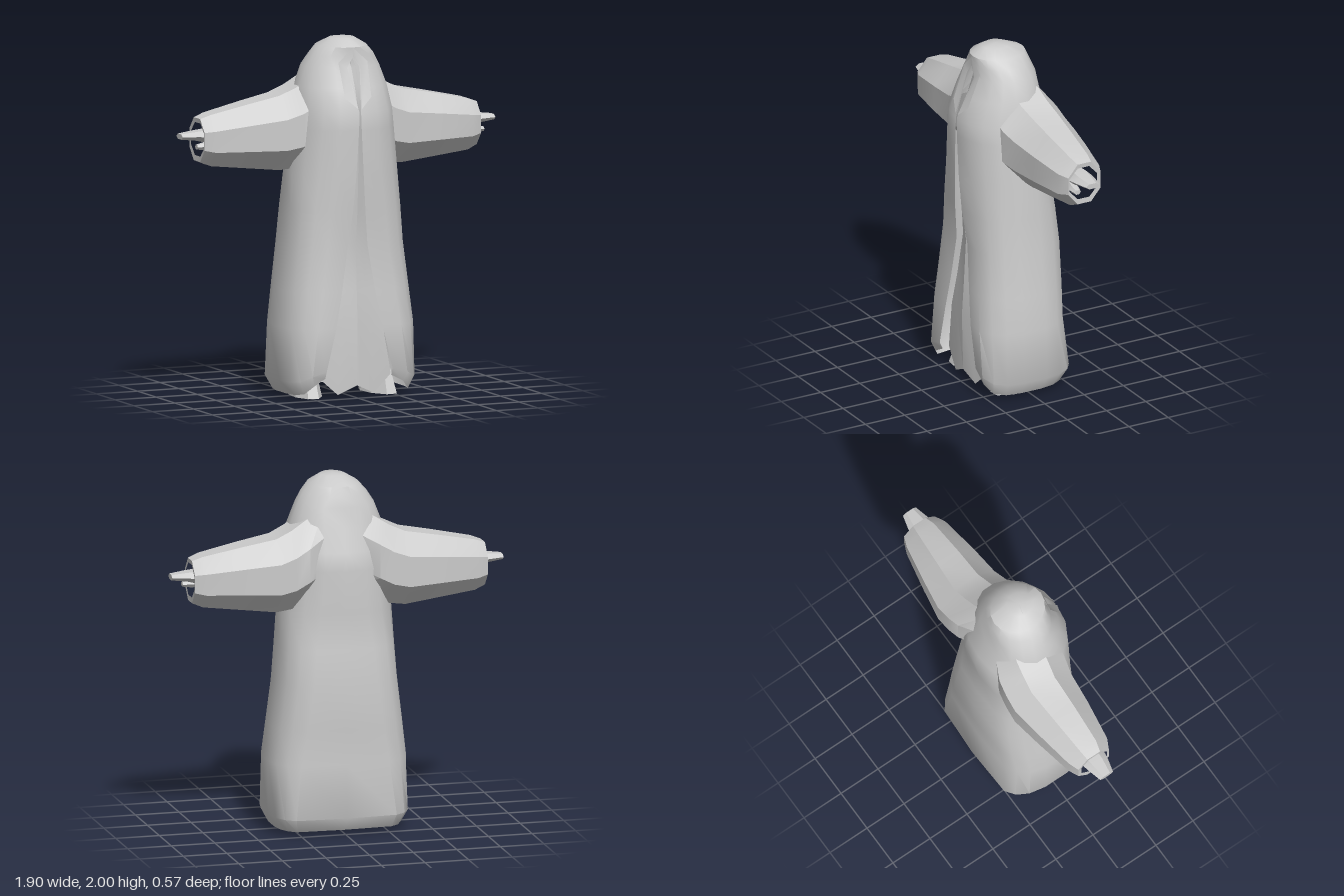
import * as THREE from 'three';
import { toCreasedNormals } from 'three/addons/utils/BufferGeometryUtils.js';

const material = new THREE.MeshStandardMaterial({ color: 0xcccccc });
const thin = new THREE.MeshStandardMaterial({ color: 0xcccccc, side: THREE.DoubleSide });

// Skin a surface over rows of [x, y, z] points
function loft(rows, crease = 0.6) {
  const n = rows[0].length, index = [];
  for (let i = 0; i < rows.length - 1; i++) {
    for (let j = 0; j < n - 1; j++) {
      const a = i * n + j, b = a + 1, d = a + n, c = d + 1;
      index.push(a, d, c, a, c, b);
    }
  }
  const geo = new THREE.BufferGeometry();
  geo.setAttribute('position', new THREE.Float32BufferAttribute(rows.flat(2), 3));
  geo.setIndex(index);
  geo.computeVertexNormals();
  return toCreasedNormals(geo, crease);
}

const mirrorRows = rows => rows.map(r => r.map(([x, y, z]) => [-x, y, z]).reverse());

// Tube along x through sections [x, top, bottom, back, front]
function limbRows(sections, sides) {
  return sections.map(([x, top, bottom, back, front]) => {
    const ring = [];
    for (let j = 0; j <= sides; j++) {
      const t = ((j % sides) + 0.5) / sides * Math.PI * 2;
      const k = 1 / Math.cos(Math.PI / sides);
      ring.push([x, (top + bottom) / 2 + (top - bottom) / 2 * k * Math.cos(t),
        (front + back) / 2 - (front - back) / 2 * k * Math.sin(t)]);
    }
    return ring;
  });
}

// Robe rows: y, half width, front z, back z, half gap, hem lift at the gap
const ROBE = [
  [2.0, 0, 0.04, 0.04, 0, 0],
  [1.992, 0.07, 0.11, -0.04, 0, 0],
  [1.95, 0.14, 0.175, -0.14, 0, 0],
  [1.9, 0.185, 0.175, -0.16, 0, 0],
  [1.84, 0.222, 0.18, -0.175, 0.04, 0],
  [1.73, 0.265, 0.23, -0.2, 0.022, 0],
  [1.6, 0.285, 0.278, -0.25, 0.005, 0],
  [1.5, 0.295, 0.28, -0.27, 0.008, 0],
  [1.25, 0.32, 0.275, -0.24, 0.022, 0],
  [1.05, 0.33, 0.265, -0.26, 0.037, 0],
  [0.85, 0.345, 0.262, -0.28, 0.06, 0],
  [0.6, 0.375, 0.275, -0.275, 0.1, 0],
  [0.4, 0.398, 0.288, -0.265, 0.14, 0],
  [0.1, 0.4, 0.29, -0.288, 0.2, 0.06],
  [0.025, 0.36, 0.27, -0.24, 0.2, 0.095],
];

function robeRows() {
  const half = 9;
  return ROBE.map(([y, w, zf, zb, gap, lift]) => {
    const p = y > 1.7 ? 1 : y > 1.2 ? 0.9 : 0.78;
    const side = [];
    for (let j = 0; j <= half; j++) {
      const t = j / half * Math.PI, c = Math.cos(t);
      const s = j === half ? 0 : Math.pow(Math.sin(t), p);
      const base = y > 1.85 ? 0.02 : 0;
      let z = base + (c > 0 ? zf - base : base - zb) * Math.sign(c) * Math.pow(Math.abs(c), p);
      if (j === 0 && y < 0.9) z -= 0.02;
      const x = (j === half ? 0 : gap) + (w - (j === half ? 0 : gap)) * s;
      side.push([x, y + lift * Math.pow(Math.max(0, c), 8), z]);
    }
    return [...side, ...side.slice(0, -1).reverse().map(([x, a, z]) => [-x, a, z])];
  });
}

// Ridged panel seen through the gap of the robe
function gownRows() {
  const rows = ROBE.slice(3, -1).map(([y, , zf, , gap]) => {
    const e = gap + 0.025, z = zf - 0.035 - (y < 0.9 ? 0.02 : 0);
    return [[-e, y, z - 0.02], [-e / 2, y, z - 0.005], [0, y, z + 0.01], [e / 2, y, z - 0.005], [e, y, z - 0.02]];
  });
  rows[rows.length - 1] = [[-0.22, 0.12, 0.2], [-0.11, 0.02, 0.22], [0, 0.07, 0.235], [0.11, 0.02, 0.22], [0.22, 0.12, 0.2]];
  return rows;
}

export function createModel() {
  const group = new THREE.Group();
  const add = (name, geo, mat = material) => {
    const mesh = new THREE.Mesh(geo, mat);
    mesh.name = name;
    group.add(mesh);
    return mesh;
  };
  const addPair = (name, rows, mat) => {
    add('left' + name, loft(rows), mat);
    add('right' + name, loft(mirrorRows(rows)), mat);
  };

  add('hoodedRobe', loft(robeRows(), 0.7), thin);
  add('innerGown', loft(gownRows(), 0.3), thin);

  // Folded lip around the hood opening
  addPair('HoodLip', [
    [[0, 1.95, 0.18], [0.088, 1.87, 0.178], [0.08, 1.68, 0.25]],
    [[0, 1.9, 0.182], [0.04, 1.84, 0.188], [0.012, 1.62, 0.277]],
  ], thin);

  // Sleeves, open at the cuff
  addPair('Sleeve', limbRows([
    [0.08, 1.84, 1.36, -0.19, 0.13],
    [0.2, 1.77, 1.31, -0.245, 0.15],
    [0.28, 1.72, 1.275, -0.255, 0.14],
    [0.37, 1.68, 1.265, -0.26, 0.12],
    [0.55, 1.645, 1.285, -0.23, 0.105],
    [0.78, 1.597, 1.31, -0.185, 0.075],
    [0.84, 1.575, 1.335, -0.16, 0.045],
    [0.838, 1.55, 1.365, -0.14, 0.035],
  ], 8));

  // Hands: flat fingers and a short thumb
  addPair('Hand', limbRows([
    [0.66, 1.485, 1.485, -0.05, -0.05],
    [0.68, 1.51, 1.43, -0.1, 0.0],
    [0.8, 1.51, 1.44, -0.115, 0.015],
    [0.86, 1.505, 1.455, -0.105, 0.01],
    [0.95, 1.495, 1.465, -0.085, -0.01],
    [0.95, 1.48, 1.48, -0.05, -0.05],
  ], 6));
  addPair('Thumb', limbRows([
    [0.7, 1.45, 1.45, -0.02, -0.02],
    [0.74, 1.46, 1.41, -0.04, 0.01],
    [0.82, 1.445, 1.405, -0.03, 0.025],
    [0.87, 1.435, 1.41, -0.015, 0.02],
    [0.87, 1.42, 1.42, 0, 0],
  ], 6));

  // Shoes: eight-sided soles narrowing towards the ankle
  for (const s of [1, -1]) {
    const geo = new THREE.CylinderGeometry(0.7, 1.05, 0.13, 8).toNonIndexed();
    geo.rotateY(Math.PI / 8);
    geo.scale(0.08, 1, 0.157);
    geo.computeVertexNormals();
    const shoe = add(s > 0 ? 'leftShoe' : 'rightShoe', geo);
    shoe.position.set(s * 0.22, 0.065, 0.025);
    shoe.rotation.y = s * 0.12;
  }
  return group;
}
